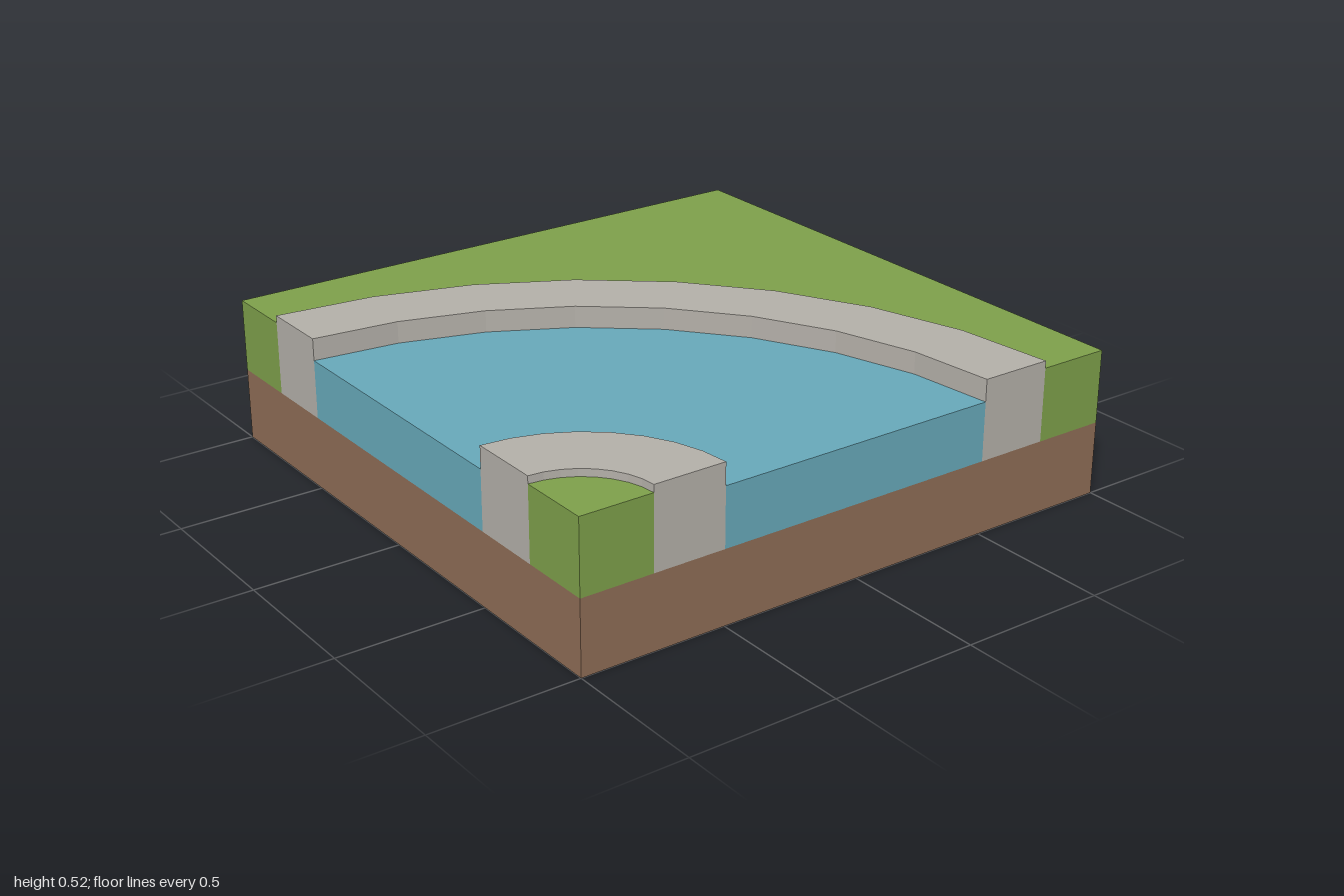
import * as THREE from 'three';

const paint = (name, color) =>
  new THREE.MeshStandardMaterial({ name, color, side: THREE.DoubleSide, flatShading: true });

// Heights of the layers
const SOIL = 0.25, WATER = 0.45, GRASS = 0.5, KERB = 0.525;
// Radii of the bends around the front corner at x = -1, z = 1
const R = [0.25, 0.5, 1.5, 1.75];

// Quarter arc of [x, z] points, from the front edge round to the left edge
function arc(r, segments = 8) {
  return Array.from({ length: segments + 1 }, (_, i) => {
    const a = (i / segments) * Math.PI / 2;
    return [-1 + r * Math.cos(a), 1 - r * Math.sin(a)];
  });
}

// Flat horizontal face with the given outline
function flat(points, y) {
  const shape = new THREE.Shape(points.map(([x, z]) => new THREE.Vector2(x, -z)));
  return new THREE.ShapeGeometry(shape).rotateX(-Math.PI / 2).translate(0, y, 0);
}

// Upright faceted band along a path
function band(points, y0, y1) {
  const pos = [];
  for (let i = 0; i < points.length - 1; i++) {
    const [ax, az] = points[i], [bx, bz] = points[i + 1];
    pos.push(ax, y0, az, bx, y0, bz, bx, y1, bz, ax, y0, az, bx, y1, bz, ax, y1, az);
  }
  const g = new THREE.BufferGeometry();
  g.setAttribute('position', new THREE.Float32BufferAttribute(pos, 3));
  g.computeVertexNormals();
  return g;
}

// Cut faces on the front and left edges, between two radii
const cuts = (r0, r1, top) => [
  band([[-1 + r0, 1], [-1 + r1, 1]], SOIL, top),
  band([[-1, 1 - r1], [-1, 1 - r0]], SOIL, top),
];

// Outline of a curved strip between two radii
const strip = (r0, r1) => [...arc(r1), ...arc(r0).reverse()];

export function createModel() {
  const model = new THREE.Group();
  model.name = 'riverBendTile';
  const soil = paint('soilBrown', 0x8d6c55);
  const grass = paint('grassGreen', 0x7d9f4a);
  const stone = paint('kerbStone', 0xb3afa8);
  const water = paint('waterBlue', 0x67a8b9);

  const part = (name, material, geometries) => {
    const group = new THREE.Group();
    group.name = name;
    geometries.forEach((g, i) => {
      const mesh = new THREE.Mesh(g, material);
      mesh.name = `${name}Face${i + 1}`;
      group.add(mesh);
    });
    model.add(group);
  };

  // Open-bottomed soil skirt
  part('soilSides', soil, [band([[-1, 1], [1, 1], [1, -1], [-1, -1], [-1, 1]], 0, SOIL)]);

  // Outer bank
  part('outerBank', grass, [
    flat([[1, 1], [1, -1], [-1, -1], ...arc(R[3]).reverse()], GRASS),
    band([[1, 1], [1, -1], [-1, -1]], SOIL, GRASS),
    ...cuts(R[3], 2, GRASS),
  ]);

  // Small inner bank in the corner
  part('innerBank', grass, [flat([[-1, 1], ...arc(R[0])], GRASS), ...cuts(0, R[0], GRASS)]);

  // River surface
  part('river', water, [flat(strip(R[1], R[2]), WATER), ...cuts(R[1], R[2], WATER)]);

  // Raised kerbs, each with a grass side and a water side
  part('innerKerb', stone, [
    flat(strip(R[0], R[1]), KERB),
    band(arc(R[0]).reverse(), GRASS, KERB),
    band(arc(R[1]), WATER, KERB),
    ...cuts(R[0], R[1], KERB),
  ]);
  part('outerKerb', stone, [
    flat(strip(R[2], R[3]), KERB),
    band(arc(R[2]).reverse(), WATER, KERB),
    band(arc(R[3]), GRASS, KERB),
    ...cuts(R[2], R[3], KERB),
  ]);

  return model;
}
